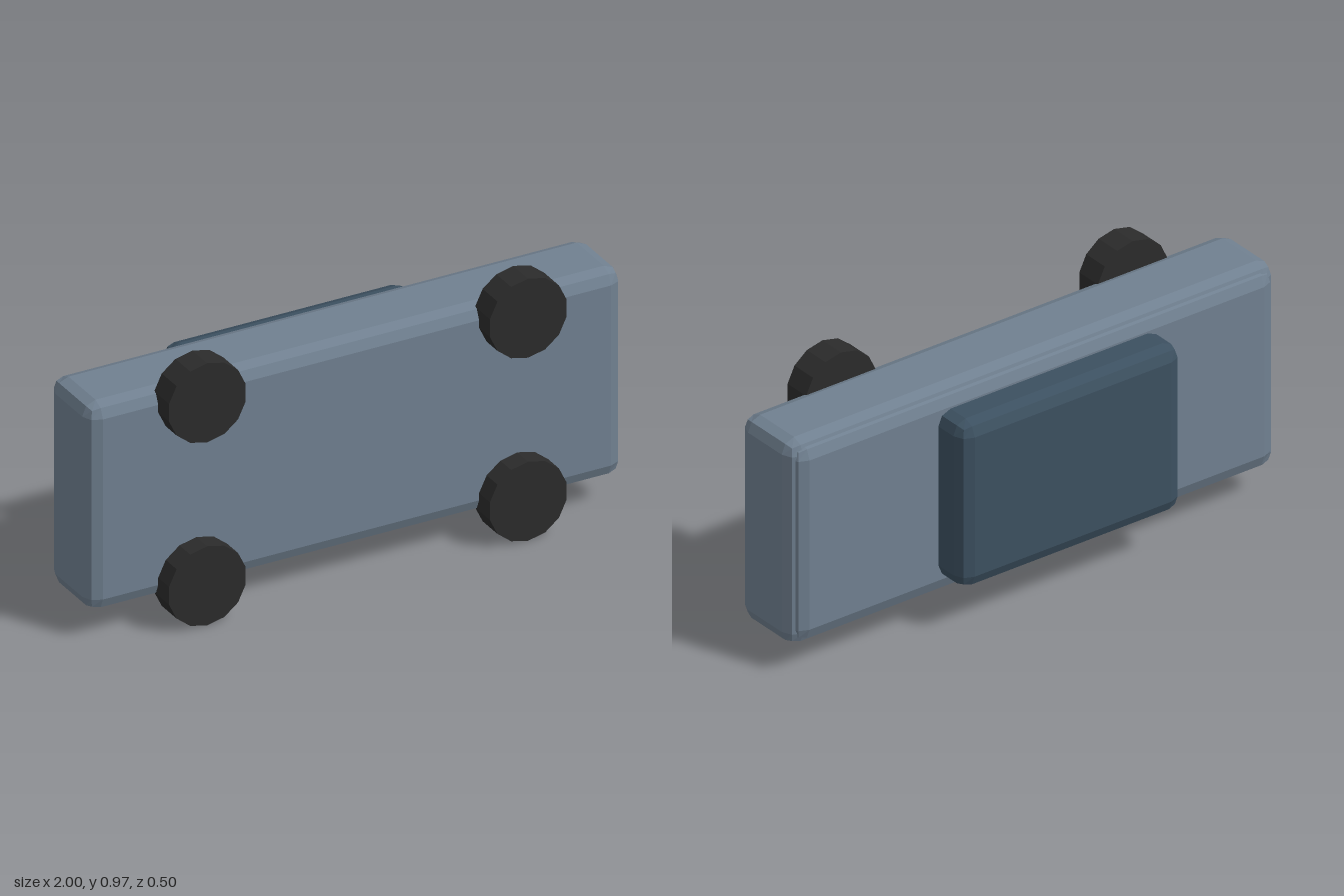
import * as THREE from 'three';
import { RoundedBoxGeometry } from 'three/addons/geometries/RoundedBoxGeometry.js';

export function createModel() {
  const model = new THREE.Group();
  const flat = (name, color) => {
    const m = new THREE.MeshStandardMaterial({ color, flatShading: true });
    m.name = name;
    return m;
  };
  const paint = flat('slatePaint', 0x708090);
  const glass = flat('darkBlueCabin', 0x3c5060);
  const rubber = flat('blackRubber', 0x2b2b2b);

  // Box with two-step rounded edges, given by its extents
  function roundedBlock(name, material, [x0, x1], [y0, y1], [z0, z1]) {
    const geometry = new RoundedBoxGeometry(x1 - x0, y1 - y0, z1 - z0, 1, 0.05);
    const mesh = new THREE.Mesh(geometry, material);
    mesh.position.set((x0 + x1) / 2, (y0 + y1) / 2, (z0 + z1) / 2);
    mesh.name = name;
    model.add(mesh);
  }

  // The car lies on its side: roof towards -z, wheels towards +z
  roundedBlock('lowerBody', paint, [-1, 1], [0.103, 0.872], [-0.105, 0.177]);
  roundedBlock('upperBody', paint, [-0.985, 0.985], [0.118, 0.857], [-0.12, 0.15]);
  roundedBlock('cabin', glass, [-0.505, 0.405], [0.175, 0.8], [-0.25, 0]);

  // Four fourteen-sided wheels
  const wheelGeometry = new THREE.CylinderGeometry(0.147, 0.147, 0.1, 14).rotateX(Math.PI / 2);
  for (const x of [-0.6, 0.6]) {
    for (const y of [0.147, 0.827]) {
      const wheel = new THREE.Mesh(wheelGeometry, rubber);
      wheel.position.set(x, y, 0.2);
      wheel.name = 'wheel';
      model.add(wheel);
    }
  }
  return model;
}
